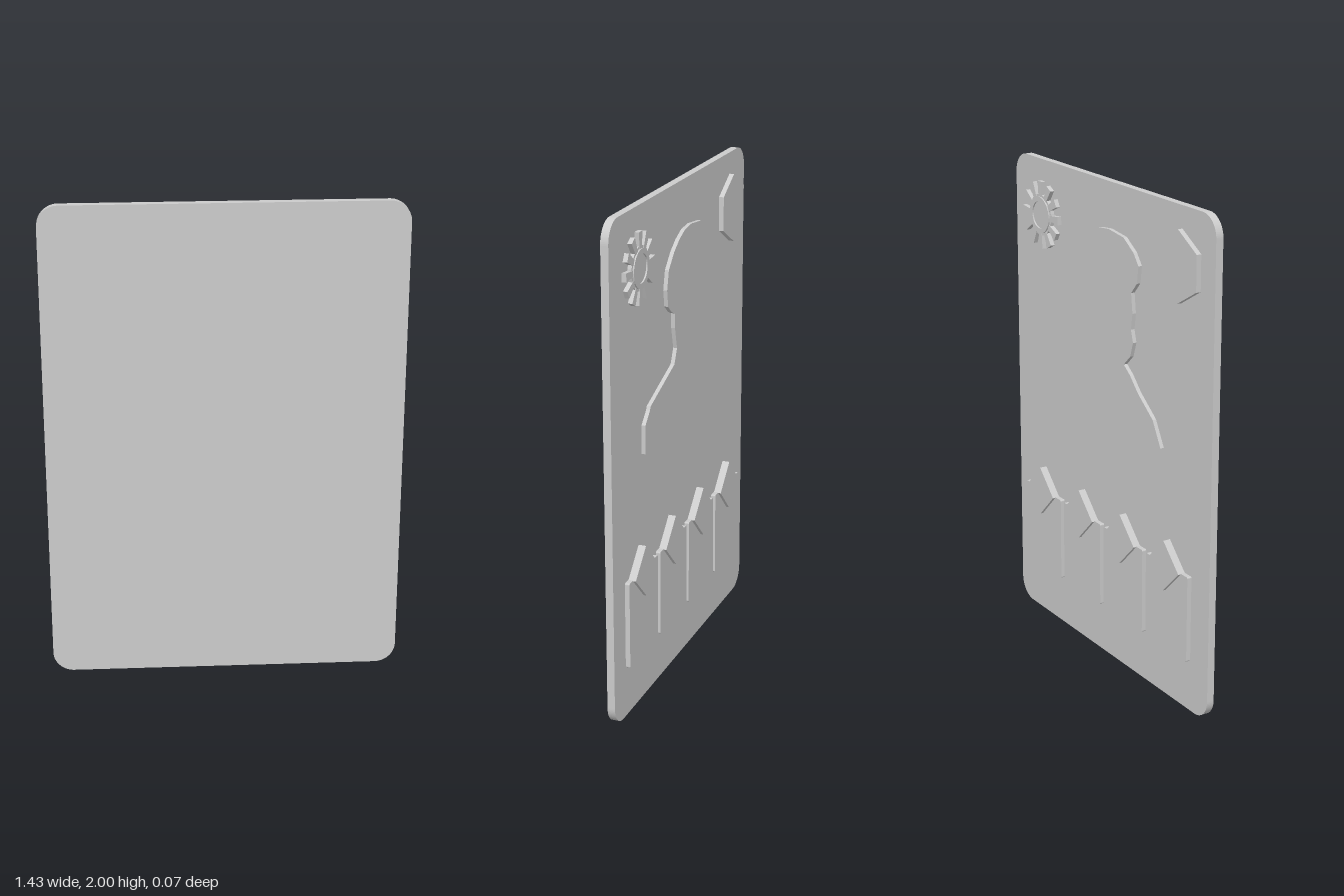
import * as THREE from 'three';

const material = new THREE.MeshStandardMaterial({ color: 0xcccccc });
const BASE = -0.004; // plane from which the reliefs rise towards the back

// Extrude a shape so that it spans zMin..zMax
function slab(name, shape, zMin, zMax, curveSegments = 10) {
  const geometry = new THREE.ExtrudeGeometry(shape, {
    depth: zMax - zMin, bevelEnabled: false, curveSegments,
  });
  geometry.translate(0, 0, zMin);
  const mesh = new THREE.Mesh(geometry, material);
  mesh.name = name;
  return mesh;
}

function polygon(points) {
  return new THREE.Shape(points.map(([x, y]) => new THREE.Vector2(x, y)));
}

// Regular polygon with its first corner pointing up
function regular(cx, cy, radius, sides) {
  return polygon(Array.from({ length: sides }, (_, i) => {
    const a = Math.PI / 2 + (i / sides) * Math.PI * 2;
    return [cx + radius * Math.cos(a), cy + radius * Math.sin(a)];
  }));
}

function roundedRectangle(x0, y0, x1, y1, r) {
  const s = new THREE.Shape();
  s.absarc(x1 - r, y0 + r, r, -Math.PI / 2, 0);
  s.absarc(x1 - r, y1 - r, r, 0, Math.PI / 2);
  s.absarc(x0 + r, y1 - r, r, Math.PI / 2, Math.PI);
  s.absarc(x0 + r, y0 + r, r, Math.PI, Math.PI * 1.5);
  s.closePath();
  return s;
}

function createSun(cx, cy) {
  const sun = new THREE.Group();
  sun.name = 'sunEmblem';
  const disc = new THREE.Shape().absarc(0, 0, 0.085, 0, Math.PI * 2);
  sun.add(slab('sunDisc', disc, -0.02, BASE, 16));

  const ring = new THREE.Shape().absarc(0, 0, 0.075, 0, Math.PI * 2);
  ring.holes.push(new THREE.Path().absarc(0, 0, 0.055, 0, Math.PI * 2, true));
  sun.add(slab('sunRing', ring, -0.026, -0.019, 16));

  // Rays widen outwards
  const rayShape = polygon([[0.075, -0.011], [0.138, -0.017], [0.138, 0.017], [0.075, 0.011]]);
  for (let i = 0; i < 12; i++) {
    const ray = slab('sunRay', rayShape, -0.022, BASE);
    ray.rotation.z = (i / 12) * Math.PI * 2;
    sun.add(ray);
  }
  sun.position.set(cx, cy, 0);
  return sun;
}

export function createModel() {
  const model = new THREE.Group();
  model.name = 'reliefPlaque';

  // Backing board
  model.add(slab('board', roundedRectangle(-0.715, 0, 0.715, 2, 0.085), 0.004, 0.035));

  // Head-and-shoulders silhouette with a cap
  model.add(slab('bustSilhouette', polygon([
    [0.03, 1.815], [-0.04, 1.822], [-0.145, 1.81], [-0.215, 1.765], [-0.25, 1.72],
    [-0.24, 1.65], [-0.2, 1.605], [-0.21, 1.525], [-0.2, 1.46], [-0.215, 1.41],
    [-0.195, 1.35], [-0.15, 1.307], [-0.195, 1.274], [-0.25, 1.218], [-0.355, 1.139],
    [-0.41, 1.04], [0.444, 1.04], [0.444, 1.155], [0.398, 1.2], [0.39, 1.215],
    [0.144, 1.305], [0.116, 1.363], [0.13, 1.42], [0.137, 1.45], [0.14, 1.51],
    [0.173, 1.525], [0.208, 1.555], [0.218, 1.622], [0.2, 1.697], [0.144, 1.754],
    [0.09, 1.79],
  ]), -0.02, BASE));

  // Emblems in the upper corners
  model.add(createSun(0.48, 1.777));
  model.add(slab('hexagonEmblem', regular(-0.515, 1.777, 0.14, 6), -0.024, BASE));

  // Row of four cards, each topped by a diamond
  for (let i = 0; i < 4; i++) {
    const x = 0.478 - i * 0.314;
    const card = new THREE.Group();
    card.name = 'card';
    card.add(slab('cardPanel', roundedRectangle(x - 0.144, 0.22, x + 0.144, 0.577, 0.006), -0.023, BASE, 3));
    card.add(slab('cardDiamond', regular(x + 0.005, 0.575, 0.105, 4), -0.035, BASE));
    model.add(card);
  }
  return model;
}
